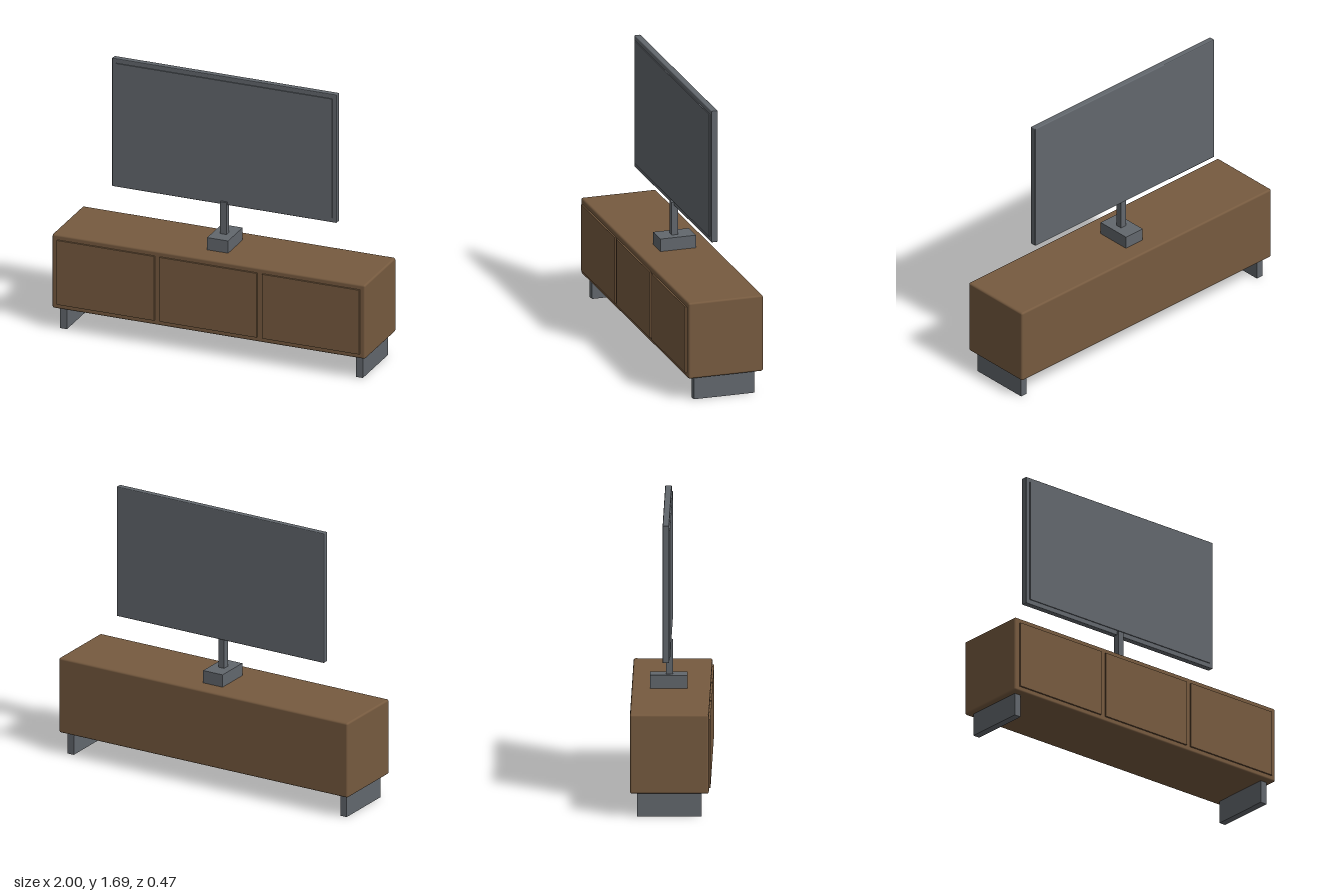
import * as THREE from 'three';
import { RoundedBoxGeometry } from 'three/addons/geometries/RoundedBoxGeometry.js';

export function createModel() {
  const group = new THREE.Group();
  const wood = new THREE.MeshStandardMaterial({ color: 0x765a3f });
  wood.name = 'brown wood';
  const metal = new THREE.MeshStandardMaterial({ color: 0x62676d });
  metal.name = 'slate grey';

  // Box given by its extents on each axis, with optional softened edges
  const box = (name, material, [x0, x1], [y0, y1], [z0, z1], radius = 0) => {
    const size = [x1 - x0, y1 - y0, z1 - z0];
    const geometry = radius
      ? new RoundedBoxGeometry(...size, 2, radius)
      : new THREE.BoxGeometry(...size);
    const mesh = new THREE.Mesh(geometry, material);
    mesh.name = name;
    mesh.position.set((x0 + x1) / 2, (y0 + y1) / 2, (z0 + z1) / 2);
    group.add(mesh);
  };

  // Cabinet body
  box('cabinet', wood, [-1, 1], [0.14, 0.612], [-0.237, 0.227], 0.012);

  // Three raised door panels
  ['rightDoor', 'middleDoor', 'leftDoor'].forEach((name, i) => {
    const x = (i - 1) * 0.655;
    box(name, wood, [x - 0.311, x + 0.311], [0.17, 0.58], [0.22, 0.237]);
  });

  // Slab legs at each end
  box('rightLeg', metal, [-0.967, -0.923], [0, 0.15], [-0.194, 0.184]);
  box('leftLeg', metal, [0.923, 0.967], [0, 0.15], [-0.194, 0.184]);

  // Television stand
  box('standBase', metal, [-0.067, 0.067], [0.6, 0.69], [-0.129, 0.091]);
  box('standPost', metal, [-0.02, 0.02], [0.69, 0.893], [-0.036, 0.005]);

  // Television casing and raised screen
  box('televisionCasing', metal, [-0.718, 0.718], [0.872, 1.69], [-0.048, -0.009], 0.005);
  box('screen', metal, [-0.69, 0.69], [0.9, 1.662], [-0.012, -0.003]);

  return group;
}
